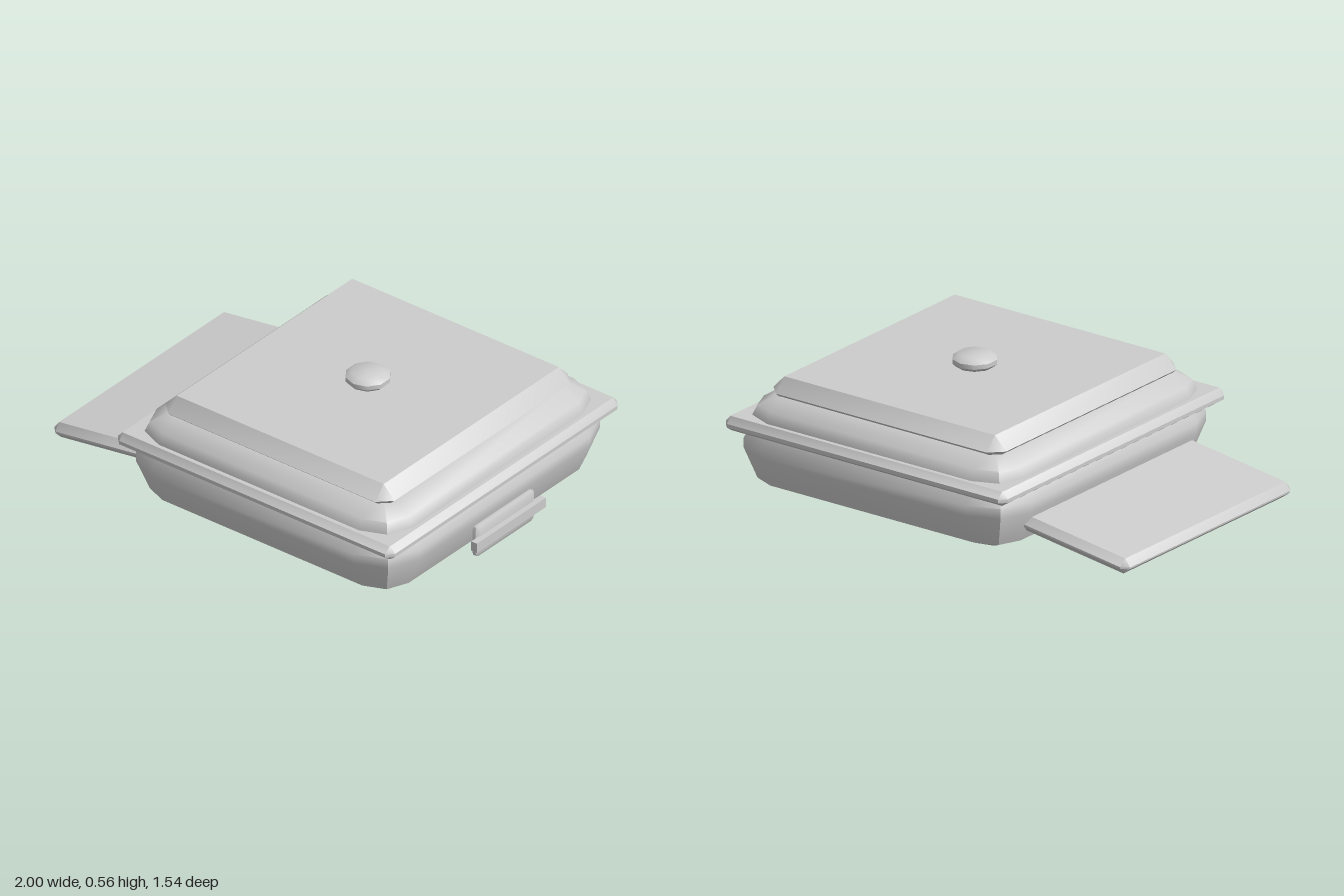
import * as THREE from 'three';
import { toCreasedNormals } from 'three/addons/utils/BufferGeometryUtils.js';

// Stacks rounded rectangles: core half sizes hx, hz, grown by r at each [y, r] level.
function roundedStack(hx, hz, segments, levels) {
  const positions = [], index = [];
  const count = 4 * (segments + 1);
  for (const [y, r] of levels) {
    for (let corner = 0; corner < 4; corner++) {
      const sx = corner === 0 || corner === 3 ? 1 : -1;
      const sz = corner < 2 ? 1 : -1;
      for (let i = 0; i <= segments; i++) {
        const a = (corner + i / segments) * Math.PI / 2;
        positions.push(sx * hx + r * Math.cos(a), y, sz * hz + r * Math.sin(a));
      }
    }
  }
  for (let l = 0; l < levels.length - 1; l++) {
    for (let i = 0; i < count; i++) {
      const a = l * count + i, b = l * count + (i + 1) % count;
      index.push(a, a + count, b, b, a + count, b + count);
    }
  }
  // Bottom and top caps
  const top = (levels.length - 1) * count;
  for (let i = 1; i < count - 1; i++) {
    index.push(0, i, i + 1, top, top + i + 1, top + i);
  }
  const geometry = new THREE.BufferGeometry();
  geometry.setAttribute('position', new THREE.Float32BufferAttribute(positions, 3));
  geometry.setIndex(index);
  return toCreasedNormals(geometry, 0.7);
}

export function createModel() {
  const group = new THREE.Group();
  const metal = new THREE.MeshStandardMaterial({ color: 0xcccccc });
  metal.name = 'light grey';

  const add = (name, geometry, x, y = 0, z = 0) => {
    const mesh = new THREE.Mesh(geometry, metal);
    mesh.name = name;
    mesh.position.set(x, y, z);
    group.add(mesh);
    return mesh;
  };
  const cx = 0.234;

  // Rounded pan with a flat base
  add('body', roundedStack(0.535, 0.567, 2,
    [[0, 0], [0.057, 0.138], [0.195, 0.196], [0.24, 0.196], [0.285, 0.17]]), cx);

  // Thin bevelled rim between pan and lid
  add('rim', roundedStack(0.71, 0.742, 1,
    [[0.275, 0], [0.295, 0.03], [0.312, 0.03], [0.34, 0.004]]), cx);

  // Rounded lower lid and stepped upper lid
  add('lidDome', roundedStack(0.535, 0.567, 2,
    [[0.32, 0.16], [0.34, 0.16], [0.385, 0.138], [0.43, 0.06]]), cx);
  add('lidTop', roundedStack(0.552, 0.585, 1,
    [[0.42, 0.03], [0.445, 0.058], [0.505, 0]]), cx);

  // Ten-sided knob
  const knobProfile = [[0, 0.5], [0.075, 0.5], [0.097, 0.52], [0.097, 0.54], [0.07, 0.56], [0, 0.56]]
    .map(([r, y]) => new THREE.Vector2(r, y));
  add('knob', toCreasedNormals(new THREE.LatheGeometry(knobProfile, 10), 0.7), cx);

  // Sloping side shelf
  const bevel = [[-0.035, 0], [-0.004, 0.03], [0.004, 0.03], [0.035, 0]];
  const shelf = add('sideShelf', roundedStack(0.273, 0.55, 1, bevel), -0.7, 0.102);
  shelf.rotation.z = 0.14;

  // Handle: bevelled plate with a bar across it
  const plate = add('handlePlate', roundedStack(0.055, 0.175, 2,
    [[-0.018, 0], [-0.008, 0.02], [0.008, 0.02], [0.018, 0]]), 0.957, 0.095);
  plate.rotation.z = -Math.PI / 2;
  add('handleBar', new THREE.BoxGeometry(0.03, 0.046, 0.46), 0.985, 0.097);

  return group;
}
